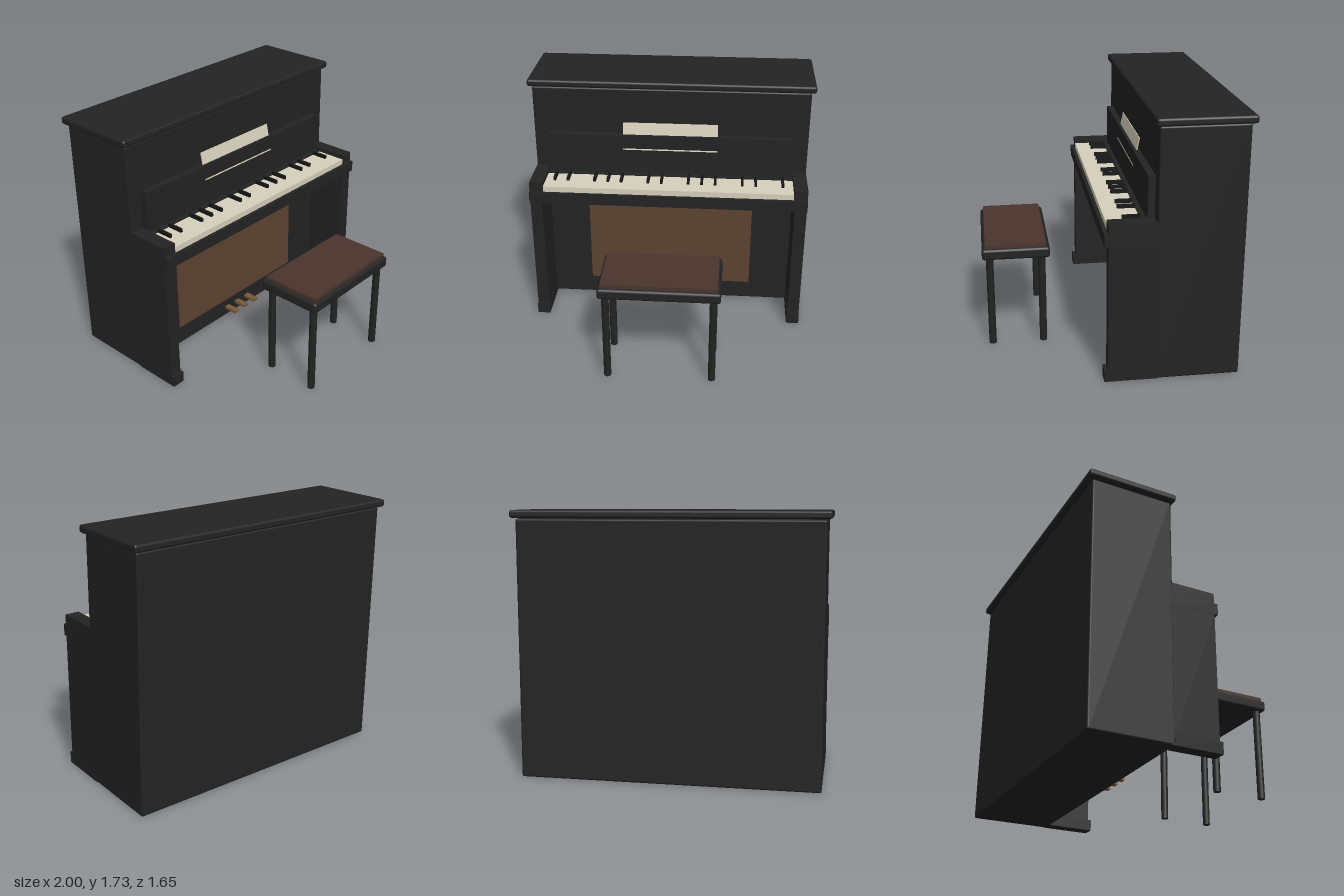
import * as THREE from 'three';
import { RoundedBoxGeometry } from 'three/addons/geometries/RoundedBoxGeometry.js';

const mat = (name, color) => {
  const m = new THREE.MeshStandardMaterial({ color });
  m.name = name;
  return m;
};

export function createModel() {
  const black = mat('black lacquer', 0x232323);
  const ivory = mat('ivory', 0xd6d0bc);
  const wood = mat('brown wood', 0x5c4330);
  const brass = mat('brass', 0x7a5a36);
  const leather = mat('brown leather', 0x4a352d);
  const ebony = mat('black keys', 0x161616);

  const piano = new THREE.Group();
  piano.name = 'piano';
  const bench = new THREE.Group();
  bench.name = 'bench';

  // Box given by its extents on each axis, with an optional rounded edge
  const box = (parent, name, material, [x0, x1], [y0, y1], [z0, z1], radius = 0) => {
    const size = [x1 - x0, y1 - y0, z1 - z0];
    const geo = radius ? new RoundedBoxGeometry(...size, 2, radius) : new THREE.BoxGeometry(...size);
    const mesh = new THREE.Mesh(geo, material);
    mesh.name = name;
    mesh.position.set((x0 + x1) / 2, (y0 + y1) / 2, (z0 + z1) / 2);
    parent.add(mesh);
    return mesh;
  };

  // Case and lid
  box(piano, 'case', black, [-0.97, 0.97], [0, 1.675], [-0.795, -0.24], 0.012);
  box(piano, 'lid', black, [-1, 1], [1.68, 1.73], [-0.825, -0.215], 0.016);
  box(piano, 'lidSpacer', black, [-0.95, 0.95], [1.66, 1.69], [-0.78, -0.26]);

  // Lower front panel
  box(piano, 'lowerPanel', wood, [-0.6, 0.6], [0.14, 0.81], [-0.241, -0.234]);

  // Side panels, feet and key cheeks
  for (const s of [-1, 1]) {
    const span = (a, b) => (s > 0 ? [a, b] : [-b, -a]);
    box(piano, 'sidePanel', black, span(0.885, 0.969), [0, 0.93], [-0.26, 0.06]);
    box(piano, 'foot', black, span(0.88, 0.97), [0, 0.078], [-0.24, 0.083]);
    box(piano, 'keyCheek', black, span(0.873, 0.969), [1.0, 1.077], [-0.26, 0.06]);
  }

  // Key bed and fallboard
  box(piano, 'keyBed', black, [-0.97, 0.97], [0.93, 1.008], [-0.25, 0.085]);
  box(piano, 'fallboard', black, [-0.87, 0.87], [1.0, 1.343], [-0.25, -0.195]);
  box(piano, 'keyRail', black, [-0.873, 0.873], [1.0, 1.055], [-0.2, -0.16]);

  // Keyboard: one white slab, black keys in groups with gaps
  box(piano, 'whiteKeys', ivory, [-0.873, 0.873], [1.0, 1.048], [-0.16, 0.06]);
  for (const i of [0, 1, 3, 4, 5, 7, 8, 10, 11, 12, 14, 15, 17]) {
    const x = -0.808 + i * 0.0946;
    box(piano, 'blackKey', ebony, [x - 0.009, x + 0.009], [1.04, 1.073], [-0.165, -0.045]);
  }

  // Sheet music leaning back behind the fallboard's top edge
  const sheet = box(piano, 'sheetMusic', ivory, [-0.335, 0.335], [1.232, 1.428], [-0.2185, -0.2125]);
  sheet.rotation.x = -0.2;

  // Pedals
  for (const x of [-0.105, 0, 0.105]) {
    box(piano, 'pedal', brass, [x - 0.021, x + 0.021], [0.06, 0.08], [-0.25, -0.14]);
  }

  // Bench
  box(bench, 'benchFrame', black, [-0.4, 0.4], [0.635, 0.71], [0.37, 0.825], 0.018);
  box(bench, 'benchCushion', leather, [-0.38, 0.38], [0.7, 0.737], [0.395, 0.803]);
  const legGeo = new THREE.CylinderGeometry(0.025, 0.025, 0.65, 10);
  for (const x of [-0.352, 0.352]) {
    for (const z of [0.425, 0.775]) {
      const leg = new THREE.Mesh(legGeo, black);
      leg.name = 'benchLeg';
      leg.position.set(x, 0.325, z);
      bench.add(leg);
    }
  }

  const model = new THREE.Group();
  model.name = 'pianoWithBench';
  model.add(piano, bench);
  return model;
}
